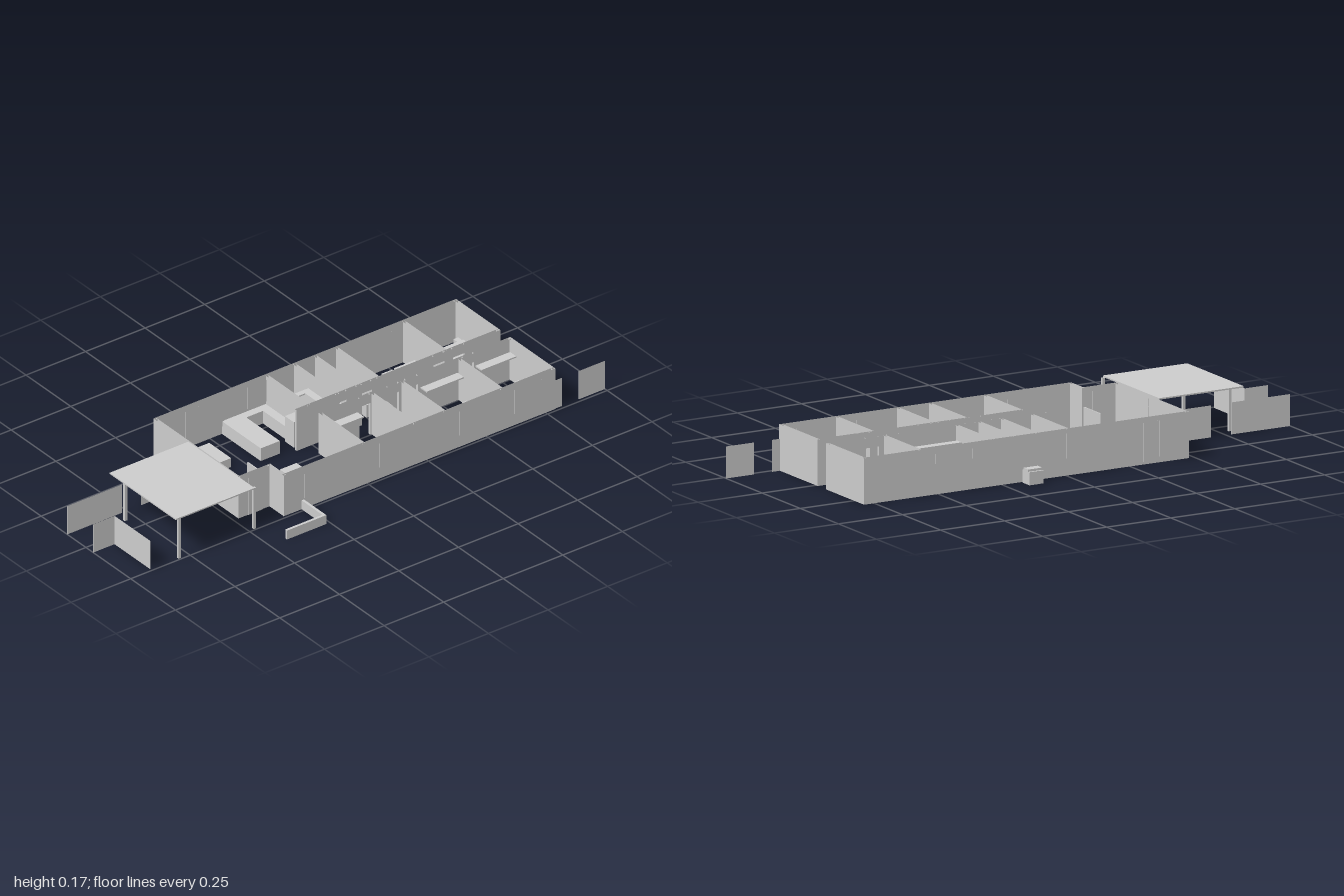
import * as THREE from 'three';

const solid = new THREE.MeshStandardMaterial({ color: 0xcccccc, flatShading: true });
const thin = new THREE.MeshStandardMaterial({ color: 0xcccccc, flatShading: true, side: THREE.DoubleSide });
const H = 0.16, T = 0.01, DOOR = 0.125;

// Closed box given by its limits
function box(parent, name, x0, x1, y0, y1, z0, z1) {
  const m = new THREE.Mesh(new THREE.BoxGeometry(x1 - x0, y1 - y0, z1 - z0), solid);
  m.position.set((x0 + x1) / 2, (y0 + y1) / 2, (z0 + z1) / 2);
  m.name = name;
  parent.add(m);
  return m;
}

// Box with open top and bottom, as cut-away walls are
function shell(parent, name, x0, x1, y0, y1, z0, z1) {
  const m = box(parent, name, x0, x1, y0, y1, z0, z1);
  const idx = Array.from(m.geometry.index.array);
  m.geometry.setIndex(idx.filter((_, i) => i < 12 || i >= 24));
  m.geometry.clearGroups();
  m.material = thin;
}

// Wall along x, with doorways given as [start, end]
function wallX(parent, name, z, x0, x1, doors = []) {
  let x = x0;
  for (const [a, b] of doors) {
    shell(parent, name, x, a, 0, H, z - T / 2, z + T / 2);
    shell(parent, name + 'Lintel', a, b, DOOR, H, z - T / 2, z + T / 2);
    x = b;
  }
  shell(parent, name, x, x1, 0, H, z - T / 2, z + T / 2);
}

function wallZ(parent, name, x, z0, z1) {
  shell(parent, name, x - T / 2, x + T / 2, 0, H, z0, z1);
}

function group(root, name) {
  const g = new THREE.Group();
  g.name = name;
  root.add(g);
  return g;
}

export function createModel() {
  const root = new THREE.Group();
  root.name = 'bungalow';

  // Outer walls with a recessed entry and an open hall end
  const outer = group(root, 'outerWalls');
  wallX(outer, 'backWall', -0.31, -0.48, 0.79);
  wallX(outer, 'frontWall', 0.235, -0.35, 0.79);
  wallZ(outer, 'westWall', -0.475, -0.315, 0.16);
  wallX(outer, 'entryWall', 0.155, -0.48, -0.35);
  wallZ(outer, 'entrySideWall', -0.345, 0.15, 0.24);
  wallZ(outer, 'eastWallFront', 0.785, -0.012, 0.24);
  wallZ(outer, 'eastWallBack', 0.785, -0.315, -0.067);

  // Inner walls on both sides of the hall
  const inner = group(root, 'innerWalls');
  wallX(inner, 'hallFrontWall', -0.007, -0.015, 0.785,
    [[0.15, 0.195], [0.27, 0.315], [0.345, 0.395], [0.585, 0.63]]);
  wallX(inner, 'hallBackWall', -0.072, -0.065, 0.785,
    [[0.115, 0.145], [0.21, 0.25], [0.51, 0.555], [0.59, 0.64]]);
  for (const x of [-0.01, 0.205, 0.33, 0.57]) wallZ(inner, 'frontRoomWall', x, -0.005, 0.235);
  for (const x of [-0.01, 0.108, 0.195, 0.283, 0.565]) wallZ(inner, 'backRoomWall', x, -0.31, -0.072);

  // Windows and doors as slightly raised panels: [x0, x1, y0, y1]
  const panes = group(root, 'windowsAndDoors');
  const frontPanes = [[-0.263, -0.094, 0.04, 0.135], [0.05, 0.156, 0.045, 0.14], [0.244, 0.29, 0.115, 0.145],
    [0.386, 0.494, 0.045, 0.14], [0.616, 0.73, 0.045, 0.14]];
  const backPanes = [[0.62, 0.73, 0.045, 0.14], [0.45, 0.51, 0.105, 0.14], [0.3, 0.365, 0.105, 0.14],
    [-0.095, 0, 0.06, 0.145], [-0.257, -0.19, 0.03, 0.145], [-0.355, -0.3, 0.01, 0.145], [-0.46, -0.365, 0.02, 0.145]];
  for (const [a, b, c, d] of frontPanes) shell(panes, 'frontWindow', a, b, c, d, 0.228, 0.242);
  for (const [a, b, c, d] of backPanes) shell(panes, 'backWindow', a, b, c, d, -0.317, -0.303);
  shell(panes, 'entryDoor', -0.44, -0.38, 0, 0.145, 0.148, 0.162);
  shell(panes, 'sideDoor', -0.482, -0.468, 0, 0.125, -0.067, -0.012);
  shell(panes, 'transom', -0.482, -0.468, 0.127, 0.155, -0.067, -0.012);

  // Carport
  const carport = group(root, 'carport');
  box(carport, 'carportRoof', -0.81, -0.48, 0.16, 0.165, -0.12, 0.25);
  for (const [x, z] of [[-0.79, 0.24], [-0.475, 0.24], [-0.79, -0.06]])
    box(carport, 'carportPost', x - 0.005, x + 0.005, 0, 0.16, z - 0.005, z + 0.005);

  // Fences and the low garden wall
  const yard = group(root, 'yard');
  for (const [a, b, z] of [[-1, -0.77, -0.105], [-0.69, -0.48, -0.105], [-1, -0.91, 0.04],
    [0.79, 0.82, 0.237], [0.89, 1, 0.237]])
    shell(yard, 'fencePanel', a, b, 0, 0.11, z - 0.001, z + 0.001);
  shell(yard, 'fencePanel', -0.911, -0.909, 0, 0.11, 0.04, 0.24);
  box(yard, 'lowWallFront', -0.43, -0.265, 0, 0.035, 0.355, 0.365);
  box(yard, 'lowWallSide', -0.275, -0.265, 0, 0.035, 0.24, 0.355);
  box(yard, 'outdoorUnit', 0.12, 0.175, 0, 0.045, -0.368, -0.323);
  box(yard, 'outdoorUnitCap', 0.12, 0.175, 0.045, 0.053, -0.36, -0.33);

  // Beds with a night stand on each side: [x0, x1, z0, z1]
  const furniture = group(root, 'furniture');
  for (const [a, b, c, d] of [[0.655, 0.775, -0.255, -0.145], [0.655, 0.775, 0.085, 0.17],
    [0.44, 0.555, 0.085, 0.17], [0, 0.11, 0.085, 0.17]]) {
    const left = a === 0;
    box(furniture, 'bed', a, b, 0, 0.035, c, d);
    const x = left ? a : b - 0.02;
    box(furniture, 'nightStand', x, x + 0.02, 0, 0.03, c - 0.028, c - 0.002);
    box(furniture, 'nightStand', x, x + 0.02, 0, 0.03, d + 0.002, d + 0.03);
  }

  // High shelves in closets and store rooms
  for (const [a, b, c, d] of [[0, 0.14, 0, 0.035], [0.22, 0.26, 0, 0.035], [0.405, 0.56, 0, 0.035],
    [0.635, 0.78, 0, 0.035], [0.29, 0.5, -0.118, -0.088], [0, 0.1, -0.222, -0.202],
    [0.072, 0.1, -0.202, -0.088], [0, 0.02, -0.202, -0.088]])
    box(furniture, 'shelf', a, b, 0.105, 0.11, c, d);

  // Counters, cabinets and tables: [name, x0, x1, height, z0, z1]
  const pieces = [
    ['coffeeTable', -0.366, -0.302, 0.035, -0.24, -0.118],
    ['kitchenIsland', -0.2, -0.12, 0.05, -0.305, -0.088],
    ['kitchenCounter', -0.12, -0.016, 0.05, -0.305, -0.275],
    ['kitchenCounter', -0.05, -0.016, 0.05, -0.275, -0.145],
    ['refrigerator', -0.06, -0.016, 0.1, -0.14, -0.09],
    ['smallCabinet', 0, 0.02, 0.04, -0.26, -0.23],
    ['washstand', 0.148, 0.19, 0.045, -0.25, -0.208],
    ['washer', 0.153, 0.19, 0.05, -0.206, -0.165],
    ['cabinet', 0.158, 0.19, 0.05, -0.16, -0.09],
    ['windowLedge', 0.12, 0.175, 0.06, -0.31, -0.295],
    ['vanity', 0.2, 0.277, 0.045, -0.243, -0.188],
    ['bathCabinet', 0.25, 0.277, 0.05, -0.188, -0.095],
    ['bathShelf', 0.265, 0.279, 0.05, -0.308, -0.25],
    ['showerBase', 0.29, 0.36, 0.03, -0.308, -0.197],
    ['longCounter', 0.29, 0.557, 0.045, -0.196, -0.165],
    ['toilet', 0.425, 0.47, 0.035, -0.245, -0.197],
    ['sideCounter', 0.47, 0.557, 0.045, -0.235, -0.2],
    ['bathSink', 0.215, 0.257, 0.045, 0.05, 0.108],
    ['toilet', 0.215, 0.255, 0.035, 0.13, 0.175],
    ['bathtub', 0.215, 0.323, 0.03, 0.18, 0.225],
    ['diningTable', -0.22, -0.15, 0.04, 0.045, 0.11],
    ['entryCabinet', -0.375, -0.35, 0.045, 0.055, 0.145],
    ['entryScreen', -0.338, -0.334, 0.1, 0.02, 0.13],
  ];
  for (const [name, a, b, h, c, d] of pieces) box(furniture, name, a, b, 0, h, c, d);

  return root;
}
